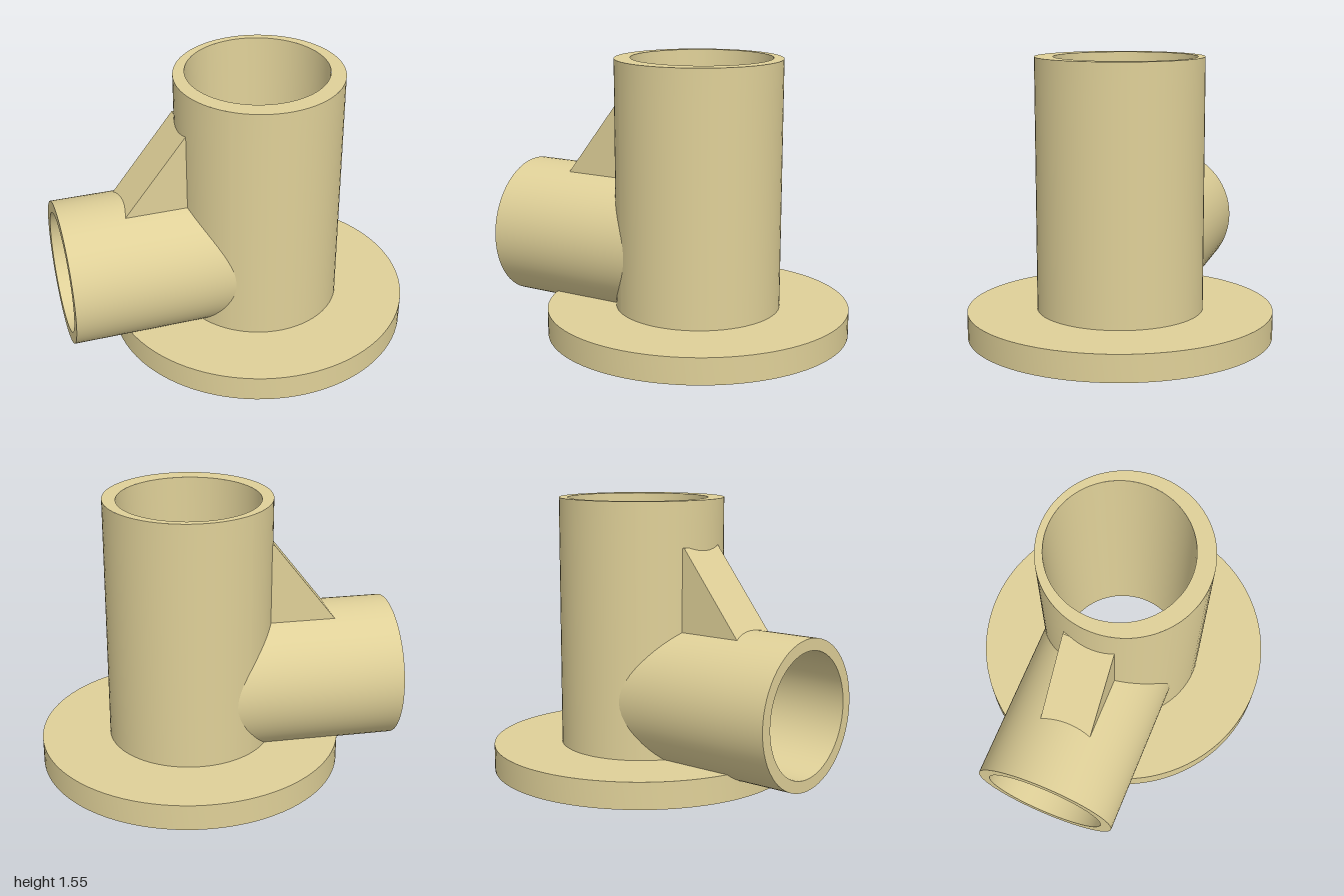
import * as THREE from 'three';
import { mergeGeometries, mergeVertices, toCreasedNormals } from 'three/addons/utils/BufferGeometryUtils.js';

const CX = 0.146, TOP = 1.55;            // upright pipe axis and height
const SIDE_Y = 0.47, SIDE_Z = -0.014;    // branch pipe axis
const BRANCH_R = 0.405, BRANCH_BORE = 0.34;
const FLANGE_R = 0.853, FLANGE_H = 0.148, PIPE_R = 0.464;

// The upright bore widens and drifts slightly backwards towards the top
const boreR = y => THREE.MathUtils.lerp(0.376, 0.393, y / TOP);
const boreZ = y => THREE.MathUtils.lerp(-0.005, -0.032, y / TOP);

// Grid surface from a point rule fn(i, j)
function sheet(fn, nu, nv, flip) {
  const pos = [], idx = [];
  for (let j = 0; j <= nv; j++) for (let i = 0; i <= nu; i++) pos.push(...fn(i, j / nv));
  for (let j = 0; j < nv; j++) for (let i = 0; i < nu; i++) {
    const a = j * (nu + 1) + i, b = a + 1, c = a + nu + 1, d = c + 1;
    if (flip) idx.push(a, c, b, b, c, d);
    else idx.push(a, b, c, b, d, c);
  }
  const g = new THREE.BufferGeometry();
  g.setAttribute('position', new THREE.Float32BufferAttribute(pos, 3));
  g.setIndex(idx);
  return g;
}

function smooth(parts) {
  const g = mergeVertices(mergeGeometries(parts), 1e-4);
  g.computeVertexNormals();
  return g;
}

// Upright wall with a round opening of radius hole facing -x
function uprightWall(radius, centreZ, hole, y0, flip) {
  const R = radius(SIDE_Y), a = Math.asin(hole / R), cols = [];
  for (let i = 0; i <= 32; i++) {
    const phi = Math.PI / 2 - (i / 32) * Math.PI;
    cols.push([Math.PI - Math.asin(hole * Math.sin(phi) / R), hole * Math.max(0, Math.cos(phi))]);
  }
  for (let i = 1; i <= 48; i++) cols.push([Math.PI + a + (i / 48) * 2 * (Math.PI - a), 0]);
  const point = (t, y) => [CX + radius(y) * Math.cos(t), y, centreZ(y) + radius(y) * Math.sin(t)];
  const n = cols.length - 1;
  const low = (i, v) => point(cols[i][0], THREE.MathUtils.lerp(y0, SIDE_Y - cols[i][1], v));
  const high = (i, v) => point(cols[i][0], THREE.MathUtils.lerp(SIDE_Y + cols[i][1], TOP, v));
  return smooth([sheet(low, n, 3, flip), sheet(high, n, 6, flip)]);
}

// Branch tube from x = -1 to a cylinder of radius stopR around the upright axis
function branchWall(r, stopR, stopZ, flip) {
  const n = 64;
  return smooth([sheet((i, v) => {
    const phi = (i / n) * Math.PI * 2;
    const z = SIDE_Z + r * Math.sin(phi);
    const end = CX - Math.sqrt(Math.max(0, stopR ** 2 - (z - stopZ) ** 2));
    return [THREE.MathUtils.lerp(-1, end, v), SIDE_Y + r * Math.cos(phi), z];
  }, n, 4, flip)]);
}

// Flat face with an offset round hole, facing up (1) or down (-1)
function annulus(outer, inner, holeZ, y, dir) {
  const s = new THREE.Shape().absarc(0, 0, outer, 0, Math.PI * 2, false);
  s.holes.push(new THREE.Path().absarc(0, -dir * holeZ, inner, 0, Math.PI * 2, true));
  return new THREE.ShapeGeometry(s, 48).rotateX(-dir * Math.PI / 2).translate(CX, y, 0);
}

export function createModel() {
  const model = new THREE.Group();
  model.name = 'flangedPipeTee';
  const material = new THREE.MeshStandardMaterial({ color: 0xdfd098 });
  const add = (name, geometry, parent = model) => {
    const m = new THREE.Mesh(geometry, material);
    m.name = name;
    parent.add(m);
    return m;
  };
  const group = name => {
    const g = new THREE.Group();
    g.name = name;
    model.add(g);
    return g;
  };

  // Base flange
  const flange = group('baseFlange');
  const rim = [[FLANGE_R, 0], [FLANGE_R, FLANGE_H], [0.4, FLANGE_H]].map(p => new THREE.Vector2(...p));
  add('flangeRim', toCreasedNormals(new THREE.LatheGeometry(rim, 96), 0.6).translate(CX, 0, 0), flange);
  add('flangeUnderside', annulus(FLANGE_R, boreR(0), boreZ(0), 0, -1), flange);

  // Upright pipe, opened towards the branch
  const upright = group('uprightPipe');
  add('uprightOuterWall', uprightWall(() => PIPE_R, () => SIDE_Z, 0.37, 0.05, true).translate(0, 0, -SIDE_Z), upright);
  add('uprightBore', uprightWall(boreR, boreZ, BRANCH_BORE, 0, false), upright);
  add('uprightTopRim', annulus(PIPE_R, boreR(TOP), boreZ(TOP), TOP, 1), upright);

  // Branch pipe running out to -x
  const branch = group('branchPipe');
  add('branchOuterWall', branchWall(BRANCH_R, 0.43, 0, false), branch);
  add('branchBore', branchWall(BRANCH_BORE, boreR(SIDE_Y), boreZ(SIDE_Y), true), branch);
  add('branchEndRim', new THREE.RingGeometry(BRANCH_BORE, BRANCH_R, 64)
    .rotateY(-Math.PI / 2).translate(-1, SIDE_Y, SIDE_Z), branch);

  // Triangular gusset between the two pipes
  const web = new THREE.Shape([[-0.665, 0.83], [-0.27, 0.83], [-0.27, 1.3], [-0.3, 1.3]]
    .map(p => new THREE.Vector2(...p)));
  add('gusset', new THREE.ExtrudeGeometry(web, { depth: 0.29, bevelEnabled: false }).translate(0, 0, -0.167));

  return model;
}
